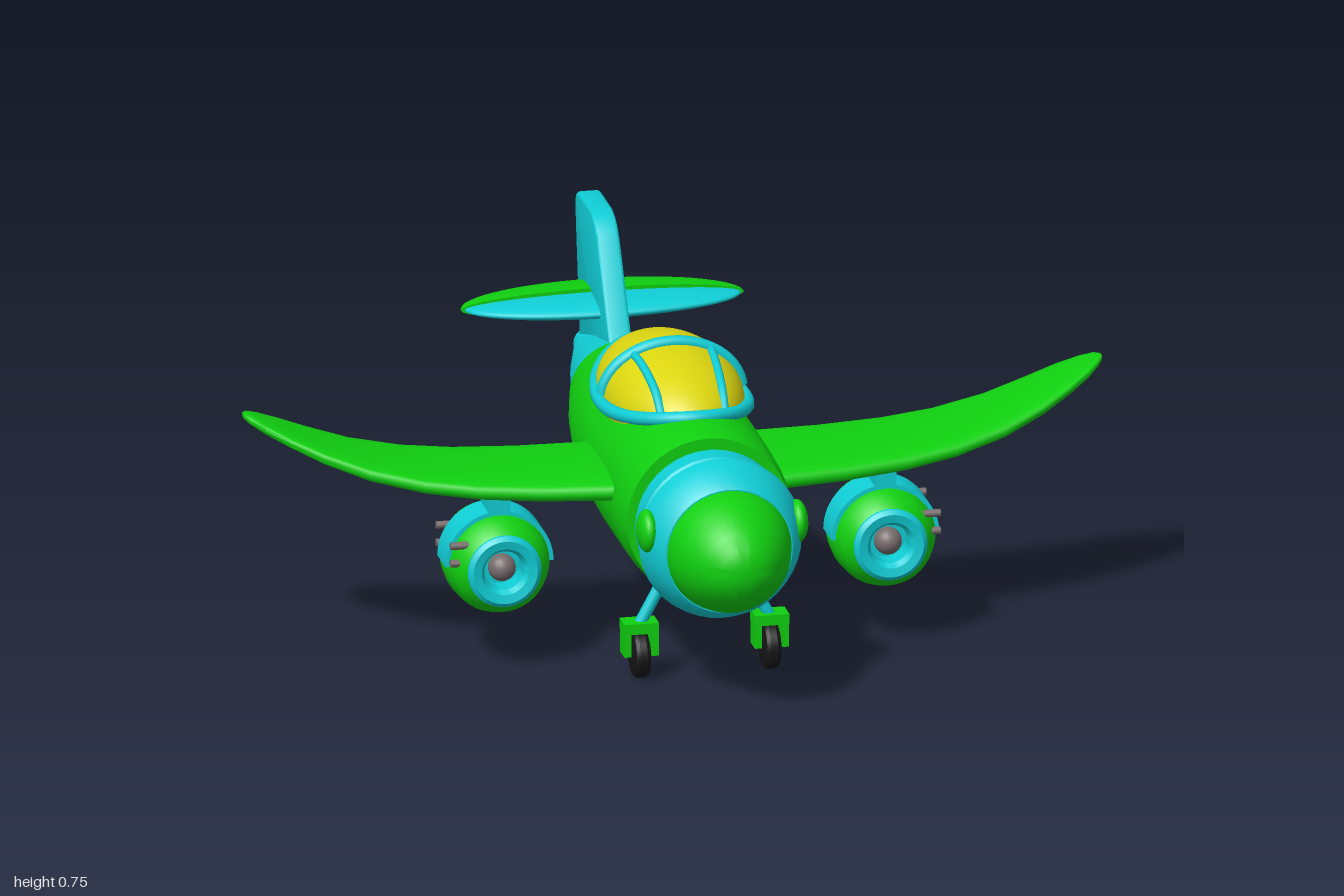
import * as THREE from 'three';
import { toCreasedNormals } from 'three/addons/utils/BufferGeometryUtils.js';

const V = (x, y, z) => new THREE.Vector3(x, y, z);

// Skin over closed rings (counter-clockwise around the direction of travel), capped at both ends
function loft(rings, crease = 0.7) {
  const n = rings[0].length, pos = [], idx = [];
  rings.forEach(r => r.forEach(p => pos.push(p.x, p.y, p.z)));
  for (let i = 0; i < rings.length - 1; i++) {
    for (let j = 0; j < n; j++) {
      const k = (j + 1) % n, a = i * n + j, b = i * n + k;
      idx.push(a, b, a + n, b, b + n, a + n);
    }
  }
  const last = (rings.length - 1) * n;
  for (let j = 1; j < n - 1; j++) idx.push(0, j + 1, j, last, last + j, last + j + 1);
  const g = new THREE.BufferGeometry();
  g.setAttribute('position', new THREE.Float32BufferAttribute(pos, 3));
  g.setIndex(idx);
  return toCreasedNormals(g, crease);
}

// Turned part along z; profile is [radius, z] from back to front
function turned(profile, segments = 40) {
  const g = new THREE.LatheGeometry(profile.map(p => new THREE.Vector2(...p)), segments);
  return toCreasedNormals(g.rotateX(Math.PI / 2), 0.55);
}

const tube = (pts, r, closed = false, n = 24) =>
  new THREE.TubeGeometry(new THREE.CatmullRomCurve3(pts, closed), n, r, 10, closed);

export function createModel() {
  const paint = (name, color, side = THREE.FrontSide) => {
    const m = new THREE.MeshStandardMaterial({ color, side });
    m.name = name;
    return m;
  };
  const green = paint('green', 0x10d010);
  const cyan = paint('cyan', 0x10ced6);
  const yellow = paint('yellow glass', 0xdcd610);
  const black = paint('black rubber', 0x161616);
  const grey = paint('grey metal', 0x786c6c);

  const model = new THREE.Group();
  model.name = 'airplane';
  const add = (name, geo, mat, x = 0, y = 0, z = 0, parent = model) => {
    const m = new THREE.Mesh(geo, mat);
    m.name = name;
    m.position.set(x, y, z);
    parent.add(m);
    return m;
  };

  // Fuselage: z, bottom, top, half width
  const stations = [[-0.44, 0.27, 0.515, 0.13], [-0.3, 0.23, 0.55, 0.162], [-0.15, 0.203, 0.578, 0.186],
    [0, 0.19, 0.588, 0.197], [0.15, 0.185, 0.59, 0.2], [0.3, 0.185, 0.59, 0.2], [0.42, 0.187, 0.585, 0.198], [0.465, 0.195, 0.577, 0.19]];
  add('fuselage', loft(stations.map(([z, lo, hi, w]) => Array.from({ length: 40 }, (_, j) => {
    const a = j / 40 * Math.PI * 2;
    return V(w * Math.cos(a), (lo + hi) / 2 + (hi - lo) / 2 * Math.sin(a), z);
  }))), green);

  // Nose and tail sections
  const axis = 0.38;
  add('noseCone', turned([[0, 0.64], [0.145, 0.64], [0.145, 0.69], [0.135, 0.73], [0.115, 0.775], [0.085, 0.82], [0.055, 0.847], [0.025, 0.857], [0, 0.858]]), green, 0, axis);
  add('noseRing', turned([[0, 0.54], [0.155, 0.54], [0.17, 0.555], [0.19, 0.59], [0.185, 0.615], [0.16, 0.68], [0.148, 0.69], [0, 0.69]]), cyan, 0, axis);
  add('neckRing', turned([[0, 0.44], [0.165, 0.44], [0.165, 0.47], [0.175, 0.48], [0.175, 0.535], [0.167, 0.545], [0, 0.545]]), cyan, 0, axis);
  add('tailCollar', turned([[0, -0.475], [0.108, -0.475], [0.114, -0.43], [0, -0.43]]), cyan, 0, axis);
  add('tailCone', turned([[0, -0.81], [0.025, -0.81], [0.027, -0.83], [0.037, -0.83], [0.038, -0.815], [0.085, -0.64], [0.12, -0.475], [0.114, -0.462], [0, -0.462]]), cyan, 0, axis);
  for (const s of [1, -1]) {
    add('noseSideCap', new THREE.SphereGeometry(1, 24, 14), green, s * 0.175, 0.415, 0.61).scale.set(0.024, 0.05, 0.05);
  }

  // Canopy with its frame
  const dome = new THREE.SphereGeometry(1, 40, 24);
  add('canopyGlass', dome, yellow, 0, 0.55, 0.05).scale.set(0.163, 0.125, 0.29);
  const onGlass = (x, z) => V(x, 0.552 + 0.125 * Math.sqrt(Math.max(0, 1 - (x / 0.163) ** 2 - ((z - 0.05) / 0.29) ** 2)), z);
  const rim = Array.from({ length: 24 }, (_, i) => {
    const a = i / 24 * Math.PI * 2, s = Math.sin(a);
    return V(0.165 * Math.cos(a) * (1 + 0.06 * s), 0.545 + 0.042 * s * s, 0.05 + 0.292 * s);
  });
  add('canopyRim', tube(rim, 0.016, true, 72), cyan);
  const arch = Array.from({ length: 13 }, (_, i) => onGlass(-0.162 * Math.cos(i / 12 * Math.PI), 0.065));
  add('canopyArch', tube(arch, 0.015, false, 40), cyan);
  for (const s of [1, -1]) {
    const bar = [0.065, 0.13, 0.2, 0.26, 0.305].map(z => onGlass(s * (0.09 - 0.07 * (z - 0.065)), z));
    add('canopyBar', tube(bar, 0.01), cyan);
  }

  // Wings: x, trailing z, leading z, mid height, half thickness
  const ribs = [[0.1, 0, 0.355, 0.417, 0.03], [0.2, 0, 0.345, 0.416, 0.03], [0.35, -0.003, 0.325, 0.417, 0.029],
    [0.5, -0.007, 0.302, 0.424, 0.027], [0.62, -0.01, 0.277, 0.438, 0.025], [0.74, -0.014, 0.243, 0.464, 0.023],
    [0.84, -0.016, 0.204, 0.499, 0.02], [0.91, -0.008, 0.165, 0.529, 0.017], [0.96, 0.012, 0.13, 0.552, 0.014],
    [0.988, 0.035, 0.1, 0.566, 0.011], [1, 0.055, 0.08, 0.572, 0.006]];
  const soft = (v, p) => Math.sign(v) * Math.abs(v) ** p;
  for (const s of [1, -1]) {
    const rings = ribs.map(([x, back, front, y, t]) => Array.from({ length: 28 }, (_, j) => {
      const a = j / 28 * Math.PI * 2;
      return V(s * x, y + t * soft(Math.cos(a), 0.6), (back + front) / 2 + (front - back) / 2 * soft(Math.sin(a), 0.8));
    }));
    add(s > 0 ? 'leftWing' : 'rightWing', loft(s > 0 ? rings : rings.reverse(), 0.9), green);
  }

  // Engine pods
  for (const s of [1, -1]) {
    const pod = new THREE.Group();
    pod.name = s > 0 ? 'leftEngine' : 'rightEngine';
    pod.position.set(s * 0.45, 0.25, 0);
    model.add(pod);
    add('engineShell', turned([[0, 0.115], [0.085, 0.115], [0.105, 0.145], [0.118, 0.185], [0.122, 0.235], [0.118, 0.285], [0.105, 0.325], [0.085, 0.345], [0.05, 0.345]]), green, 0, 0, 0, pod);
    add('engineIntake', turned([[0.088, 0.33], [0.085, 0.35], [0.075, 0.358], [0.055, 0.354], [0.046, 0.34], [0.046, 0.29], [0, 0.29]]), cyan, 0, 0, 0, pod);
    add('engineHub', new THREE.SphereGeometry(0.032, 20, 14), grey, 0, 0, 0.315, pod);
    add('engineExhaust', turned([[0, 0.04], [0.028, 0.04], [0.033, 0.06], [0.045, 0.06], [0.05, 0.08], [0.058, 0.08], [0.062, 0.1], [0.072, 0.1], [0.078, 0.125], [0, 0.125]]), cyan, 0, 0, 0, pod);
    // Cyan strap over the upper half, and the mount to the wing
    const strap = new THREE.CylinderGeometry(0.126, 0.126, 0.09, 32, 1, false, Math.PI / 2, Math.PI).rotateX(Math.PI / 2);
    add('engineStrap', strap, cyan, 0, 0, 0.245, pod);
    add('enginePylon', new THREE.BoxGeometry(0.05, 0.07, 0.09), cyan, 0, 0.125, 0.245, pod);
    // Bolts on the outer side
    for (const z of [0.165, 0.32]) {
      for (const y of [0.018, 0.06]) {
        add('engineBolt', new THREE.CylinderGeometry(0.009, 0.009, 0.05, 12).rotateZ(Math.PI / 2), grey, s * 0.096, y, z, pod);
      }
    }
  }

  // Tail fin
  const fin = new THREE.Shape();
  fin.moveTo(0.46, 0.44);
  fin.lineTo(0.62, 0.685);
  fin.quadraticCurveTo(0.655, 0.738, 0.715, 0.738);
  fin.lineTo(0.825, 0.738);
  fin.quadraticCurveTo(0.858, 0.735, 0.852, 0.695);
  fin.lineTo(0.805, 0.4);
  fin.lineTo(0.6, 0.4);
  const finGeo = new THREE.ExtrudeGeometry(fin, { depth: 0.038, bevelThickness: 0.008, bevelSize: 0.007, bevelSegments: 3, curveSegments: 10 });
  add('tailFin', toCreasedNormals(finGeo.translate(0, 0, -0.019).rotateY(Math.PI / 2), 0.6), cyan);

  // Tailplane: cyan front half, thicker green rear half with a flat front face
  const frontHalf = new THREE.SphereGeometry(1, 32, 20, 0, Math.PI);
  const rearHalf = new THREE.SphereGeometry(1, 32, 20, Math.PI, Math.PI);
  add('tailplaneFront', frontHalf, cyan, 0, 0.528, -0.685).scale.set(0.322, 0.023, 0.105);
  add('elevator', rearHalf, green, 0, 0.528, -0.685).scale.set(0.33, 0.032, 0.13);
  add('elevatorFace', new THREE.CircleGeometry(1, 40), green, 0, 0.528, -0.685).scale.set(0.33, 0.032, 1);

  // Landing gear: wheel, fork and strut
  const gear = (name, x, y, z, top) => {
    const g = new THREE.Group();
    g.name = name;
    model.add(g);
    const wheel = [[0, -0.019], [0.04, -0.019], [0.051, -0.016], [0.056, -0.008], [0.056, 0.008], [0.051, 0.016], [0.04, 0.019], [0, 0.019]];
    add('wheel', turned(wheel, 28).rotateY(Math.PI / 2), black, x, y, z, g);
    add('forkTop', new THREE.BoxGeometry(0.08, 0.025, 0.056), green, x, y + 0.067, z, g);
    for (const s of [1, -1]) add('forkSide', new THREE.BoxGeometry(0.016, 0.07, 0.05), green, x + s * 0.032, y + 0.035, z, g);
    add('strut', tube([V(x, y + 0.07, z), top], 0.014, false, 2), cyan, 0, 0, 0, g);
  };
  gear('leftGear', 0.152, 0.056, 0.42, V(0.085, 0.25, 0.42));
  gear('rightGear', -0.152, 0.056, 0.42, V(-0.085, 0.25, 0.42));
  gear('rearGear', 0, 0.125, -0.215, V(0, 0.25, -0.215));

  return model;
}
